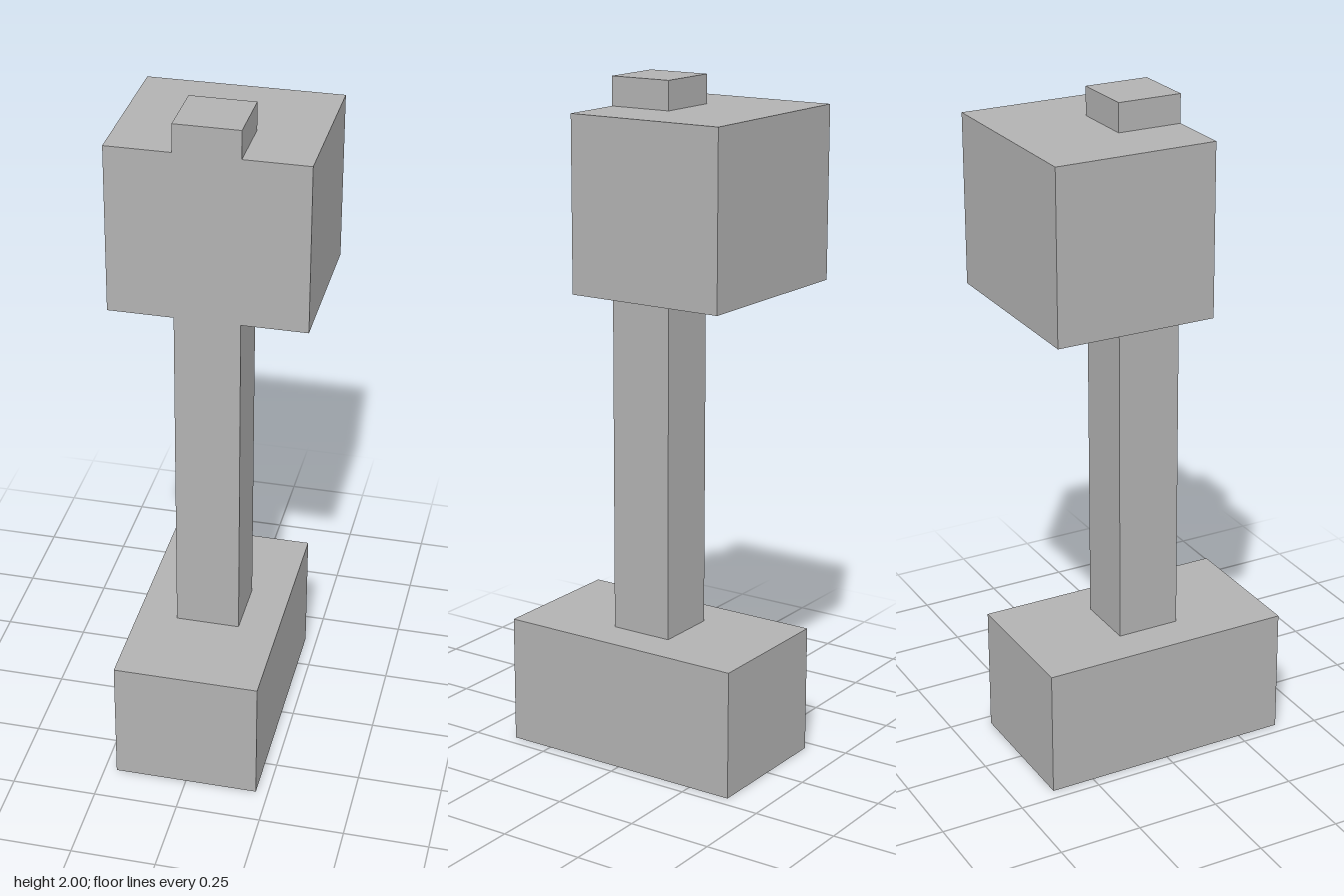
import * as THREE from 'three';

export function createModel() {
  const group = new THREE.Group();
  const grey = new THREE.MeshStandardMaterial({ color: 0xb2b2b2 });
  grey.name = 'grey';

  // Box given by its extents on each axis
  const block = (name, [x0, x1], [y0, y1], [z0, z1]) => {
    const mesh = new THREE.Mesh(new THREE.BoxGeometry(x1 - x0, y1 - y0, z1 - z0), grey);
    mesh.position.set((x0 + x1) / 2, (y0 + y1) / 2, (z0 + z1) / 2);
    mesh.name = name;
    group.add(mesh);
  };

  // Foot block, square post, overhanging head flush with the post's front, and cap stub
  block('base', [-0.214, 0.214], [0, 0.381], [-0.381, 0.381]);
  block('post', [-0.095, 0.095], [0.381, 1.417], [-0.095, 0.095]);
  block('head', [-0.286, 0.286], [1.417, 1.917], [-0.381, 0.095]);
  block('topStub', [-0.095, 0.095], [1.917, 2], [-0.095, 0.095]);

  return group;
}
